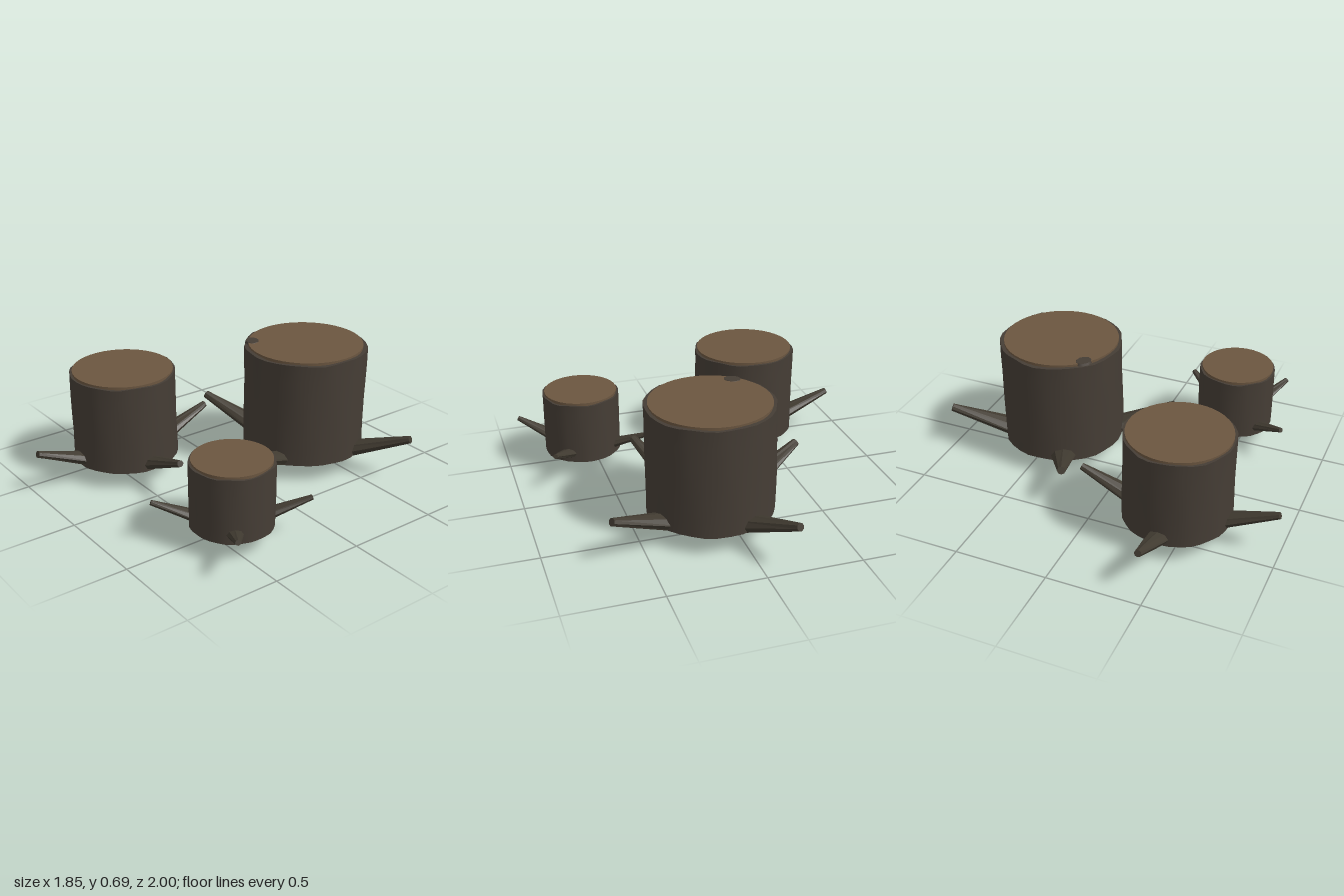
import * as THREE from 'three';
import { toCreasedNormals } from 'three/addons/utils/BufferGeometryUtils.js';

const material = (name, color) => {
  const m = new THREE.MeshStandardMaterial({ color });
  m.name = name;
  return m;
};

// Gently uneven bark cylinder, smooth around and sharp at the rims
function trunkGeometry(radius, bottom, top, phase) {
  const geo = new THREE.CylinderGeometry(radius, radius, top - bottom, 32, 6);
  geo.translate(0, (top + bottom) / 2, 0);
  const p = geo.attributes.position;
  for (let i = 0; i < p.count; i++) {
    const x = p.getX(i), y = p.getY(i), z = p.getZ(i);
    if (Math.hypot(x, z) < radius * 0.5) continue;
    const a = Math.atan2(z, x);
    const k = 1 + 0.009 * Math.sin(5 * a + phase + 5 * y) + 0.008 * Math.sin(11 * a + 2 * phase - 9 * y);
    p.setX(i, x * k);
    p.setZ(i, z * k);
    if (y > top - 0.001) p.setY(i, y - 0.003 + 0.003 * Math.sin(7 * a + phase));
  }
  return toCreasedNormals(geo, 0.8);
}

// Tapered root along +x, rising outwards from under the trunk; flattened at its base
function rootGeometry() {
  const inner = new THREE.Vector3(0.104, 0.042, 0);
  const tip = new THREE.Vector3(0.535, 0.208, 0);
  const length = inner.distanceTo(tip);
  const geo = new THREE.CylinderGeometry(1, 1, length, 8, 1);
  const p = geo.attributes.position;
  for (let i = 0; i < p.count; i++) {
    const outer = p.getY(i) > 0;
    p.setX(i, p.getX(i) * (outer ? 0.018 : 0.047));
    p.setZ(i, p.getZ(i) * (outer ? 0.019 : 0.082));
  }
  geo.rotateY(0);
  geo.rotateZ(Math.atan2(tip.y - inner.y, tip.x - inner.x) - Math.PI / 2);
  geo.translate((inner.x + tip.x) / 2, (inner.y + tip.y) / 2, 0);
  const flat = geo.toNonIndexed();
  flat.computeVertexNormals();
  return flat;
}

export function createModel() {
  const group = new THREE.Group();
  const bark = material('dark bark', 0x453d35);
  const rootBark = material('root bark', 0x413b31);
  const wood = material('cut wood', 0x6b5640);
  rootBark.flatShading = true;
  const rootGeo = rootGeometry();

  const stumps = [
    { name: 'middleStump', x: -0.385, z: 0.45, radius: 0.283, top: 0.585, cap: 0.27, rootScale: 1, rootY: 0.03, turn: 0 },
    { name: 'largeStump', x: 0.1, z: -0.42, radius: 0.333, top: 0.68, cap: 0.313, rootScale: 1.18, rootY: 0.002, turn: 0.425 },
    { name: 'smallStump', x: 0.585, z: 0.445, radius: 0.211, top: 0.442, cap: 0.2, rootScale: 0.735, rootY: 0.07, turn: -0.575 },
  ];

  stumps.forEach((s, index) => {
    const stump = new THREE.Group();
    stump.name = s.name;
    stump.position.set(s.x, 0, s.z);

    const trunk = new THREE.Mesh(trunkGeometry(s.radius, 0.1, s.top, index * 1.7), bark);
    trunk.name = 'trunk';
    stump.add(trunk);

    // Pale cut face, slightly proud of the bark rim
    const face = new THREE.Mesh(new THREE.CylinderGeometry(s.cap, s.cap, 0.016, 40), wood);
    face.name = 'cutFace';
    face.position.y = s.top + 0.002;
    stump.add(face);

    // Four roots evenly spread
    for (let i = 0; i < 4; i++) {
      const root = new THREE.Mesh(rootGeo, rootBark);
      root.name = 'root';
      root.scale.setScalar(s.rootScale);
      root.position.y = s.rootY;
      root.rotation.y = s.turn + i * Math.PI / 2;
      stump.add(root);
    }
    group.add(stump);
  });

  // Bark lip curling over the cut face of the large stump
  const lip = new THREE.Mesh(new THREE.CylinderGeometry(0.035, 0.04, 0.012, 10), bark);
  lip.name = 'barkLip';
  lip.scale.x = 1.25;
  lip.rotation.y = -0.5;
  lip.position.set(-0.09, 0.686, -0.2);
  group.add(lip);

  return group;
}
